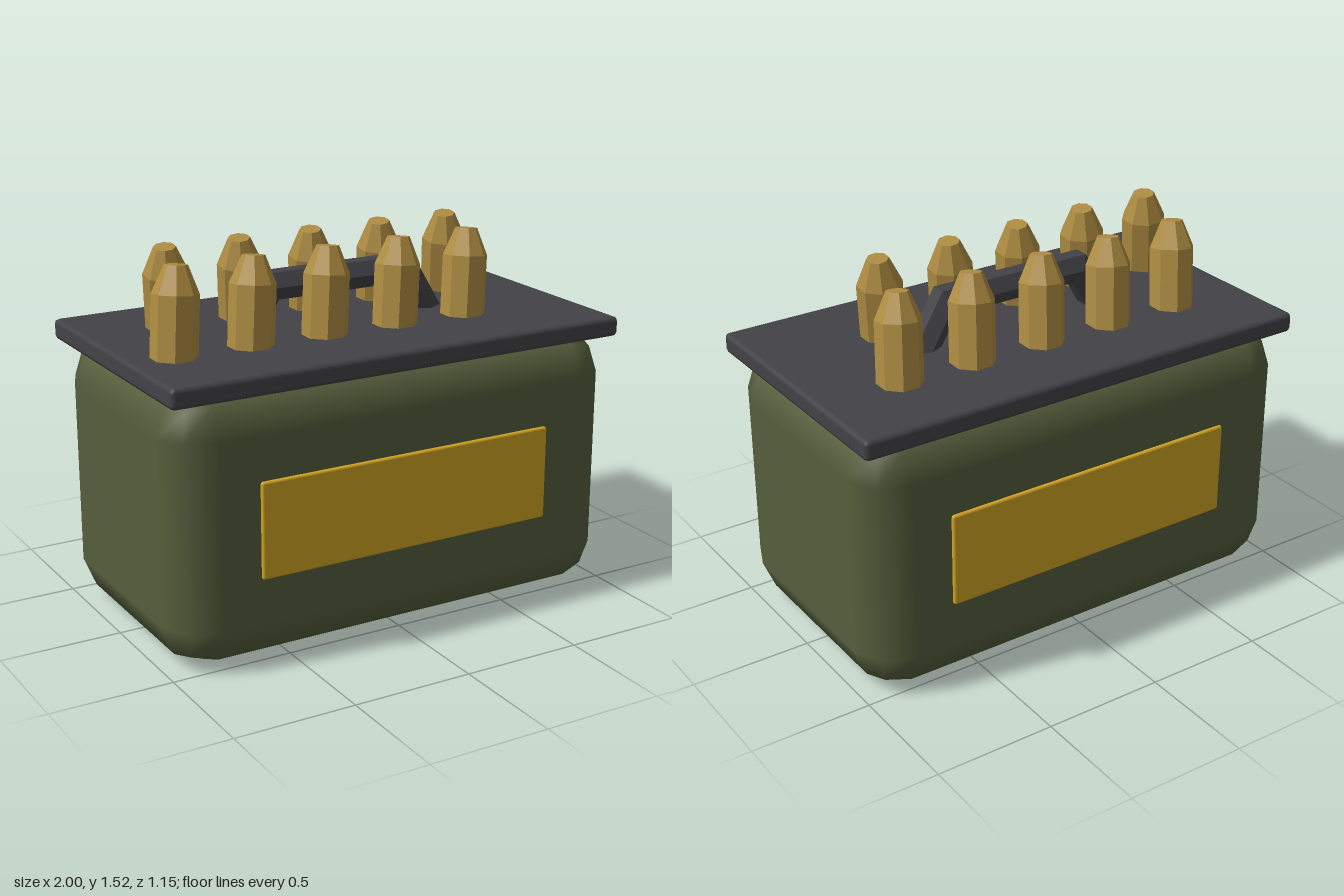
import * as THREE from 'three';
import { RoundedBoxGeometry } from 'three/addons/geometries/RoundedBoxGeometry.js';

const material = (name, color, flatShading = false) => {
  const m = new THREE.MeshStandardMaterial({ color, flatShading });
  m.name = name;
  return m;
};

// Hexagonal bar swept along a bent path in the xy plane, with mitred corners
function hexBar(path, radius) {
  const rings = path.map((p, i) => {
    const before = path[Math.max(i - 1, 0)], after = path[Math.min(i + 1, path.length - 1)];
    const a = i > 0 ? p.clone().sub(before).normalize() : after.clone().sub(p).normalize();
    const b = i < path.length - 1 ? after.clone().sub(p).normalize() : a;
    const tangent = a.clone().add(b).normalize();
    const normal = new THREE.Vector2(-tangent.y, tangent.x);
    const miter = 1 / tangent.dot(a);
    return Array.from({ length: 6 }, (_, k) => {
      const t = (k * Math.PI) / 3, out = Math.sin(t) * radius * miter;
      return [p.x + normal.x * out, p.y + normal.y * out, Math.cos(t) * radius];
    });
  });
  const positions = [];
  for (let i = 0; i < rings.length - 1; i++) {
    for (let k = 0; k < 6; k++) {
      const n = (k + 1) % 6;
      const a = rings[i][k], b = rings[i + 1][k], c = rings[i + 1][n], d = rings[i][n];
      positions.push(...a, ...b, ...c, ...a, ...c, ...d);
    }
  }
  const geometry = new THREE.BufferGeometry();
  geometry.setAttribute('position', new THREE.Float32BufferAttribute(positions, 3));
  geometry.computeVertexNormals();
  return geometry;
}

export function createModel() {
  const model = new THREE.Group();
  model.name = 'ammunitionBox';

  const green = material('olive green', 0x565e3c);
  const dark = material('dark metal', 0x434247);
  const darkFlat = dark;
  const yellow = material('label yellow', 0xd4a622);
  const brass = material('brass', 0xae8c42, true);

  const add = (name, geometry, mat, x = 0, y = 0, z = 0, parent = model) => {
    const mesh = new THREE.Mesh(geometry, mat);
    mesh.name = name;
    mesh.position.set(x, y, z);
    parent.add(mesh);
    return mesh;
  };

  // Softly bevelled body and overhanging lid
  add('body', new RoundedBoxGeometry(1.984, 1.114, 1.124, 1, 0.18), green, 0, 0.54, 0);
  add('lid', new RoundedBoxGeometry(2.004, 0.084, 1.13, 1, 0.02), dark, 0, 1.11, 0);

  // Label plates on front and back
  for (const side of [1, -1]) {
    add(side > 0 ? 'frontLabel' : 'backLabel',
      new RoundedBoxGeometry(1.302, 0.392, 0.062, 1, 0.01), yellow, 0, 0.545, side * 0.545);
  }

  // Carrying handle
  const path = [[-0.435, 1.12], [-0.312, 1.325], [0.312, 1.325], [0.435, 1.12]]
    .map(([x, y]) => new THREE.Vector2(x, y));
  add('handle', hexBar(path, 0.064), darkFlat);

  // Faceted cartridges, one profile shared by two leaning rows
  const profile = [[0, -0.04], [0.092, -0.04], [0.092, 0.24], [0.045, 0.35], [0, 0.35]]
    .map(([r, y]) => new THREE.Vector2(r, y));
  const cartridge = new THREE.LatheGeometry(profile, 8, Math.PI / 8);
  const up = new THREE.Vector3(0, 1, 0);
  const rows = [
    { name: 'frontCartridges', x: -0.815, z: 0.19, lean: [0.035, -0.035] },
    { name: 'backCartridges', x: -0.652, z: -0.21, lean: [-0.035, 0.06] },
  ];
  for (const row of rows) {
    const group = new THREE.Group();
    group.name = row.name;
    model.add(group);
    const axis = new THREE.Vector3(row.lean[0], 0.35, row.lean[1]).normalize();
    for (let i = 0; i < 5; i++) {
      const mesh = add('cartridge', cartridge, brass, row.x + i * 0.325, 1.15, row.z, group);
      mesh.quaternion.setFromUnitVectors(up, axis);
    }
  }
  return model;
}
